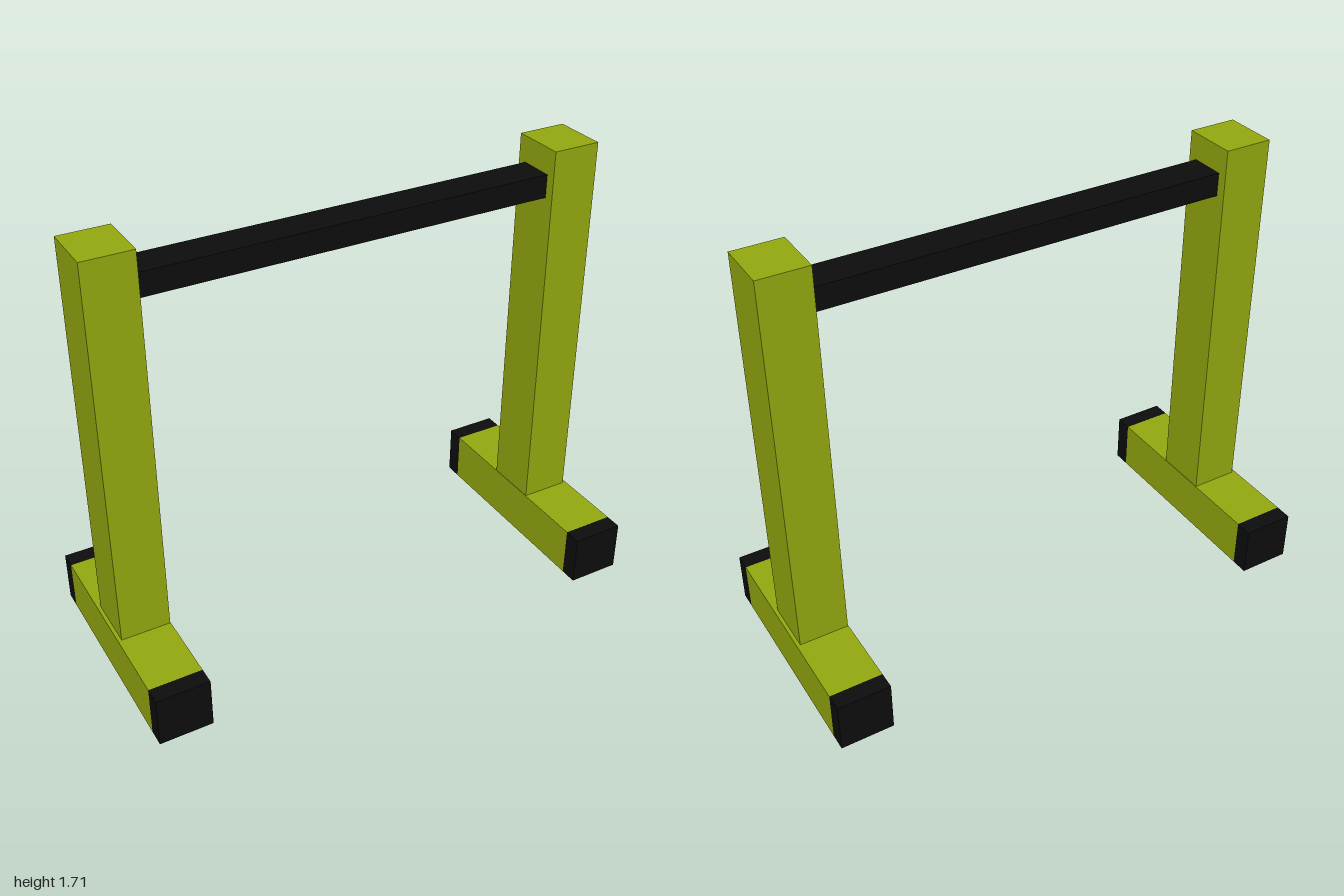
import * as THREE from 'three';

const green = new THREE.MeshStandardMaterial({ name: 'lime green', color: 0x94a90f });
const black = new THREE.MeshStandardMaterial({ name: 'black', color: 0x0d0d0d });

// Box given by its minimum and maximum corners
function box(name, material, [x0, y0, z0], [x1, y1, z1]) {
  const mesh = new THREE.Mesh(new THREE.BoxGeometry(x1 - x0, y1 - y0, z1 - z0), material);
  mesh.position.set((x0 + x1) / 2, (y0 + y1) / 2, (z0 + z1) / 2);
  mesh.name = name;
  return mesh;
}

export function createModel() {
  const model = new THREE.Group();
  model.name = 'pullUpStand';

  for (const side of [-1, 1]) {
    const stand = new THREE.Group();
    stand.name = side > 0 ? 'leftStand' : 'rightStand';

    // Foot beam and upright post
    const foot = box('foot', green, [0.795, 0, -0.388], [1, 0.2, 0.388]);
    const post = box('post', green, [0.797, 0.2, -0.106], [0.986, 1.71, 0.106]);
    // Dark caps on both ends of the foot
    const frontCap = box('frontCap', black, [0.795, 0, 0.388], [1, 0.2, 0.455]);
    const backCap = box('backCap', black, [0.795, 0, -0.455], [1, 0.2, -0.388]);

    for (const part of [foot, post, frontCap, backCap]) {
      part.position.x *= side;
      stand.add(part);
    }
    model.add(stand);
  }

  // Flat crossbar between the posts
  model.add(box('crossbar', black, [-0.797, 1.52, -0.068], [0.797, 1.61, 0.068]));
  return model;
}
